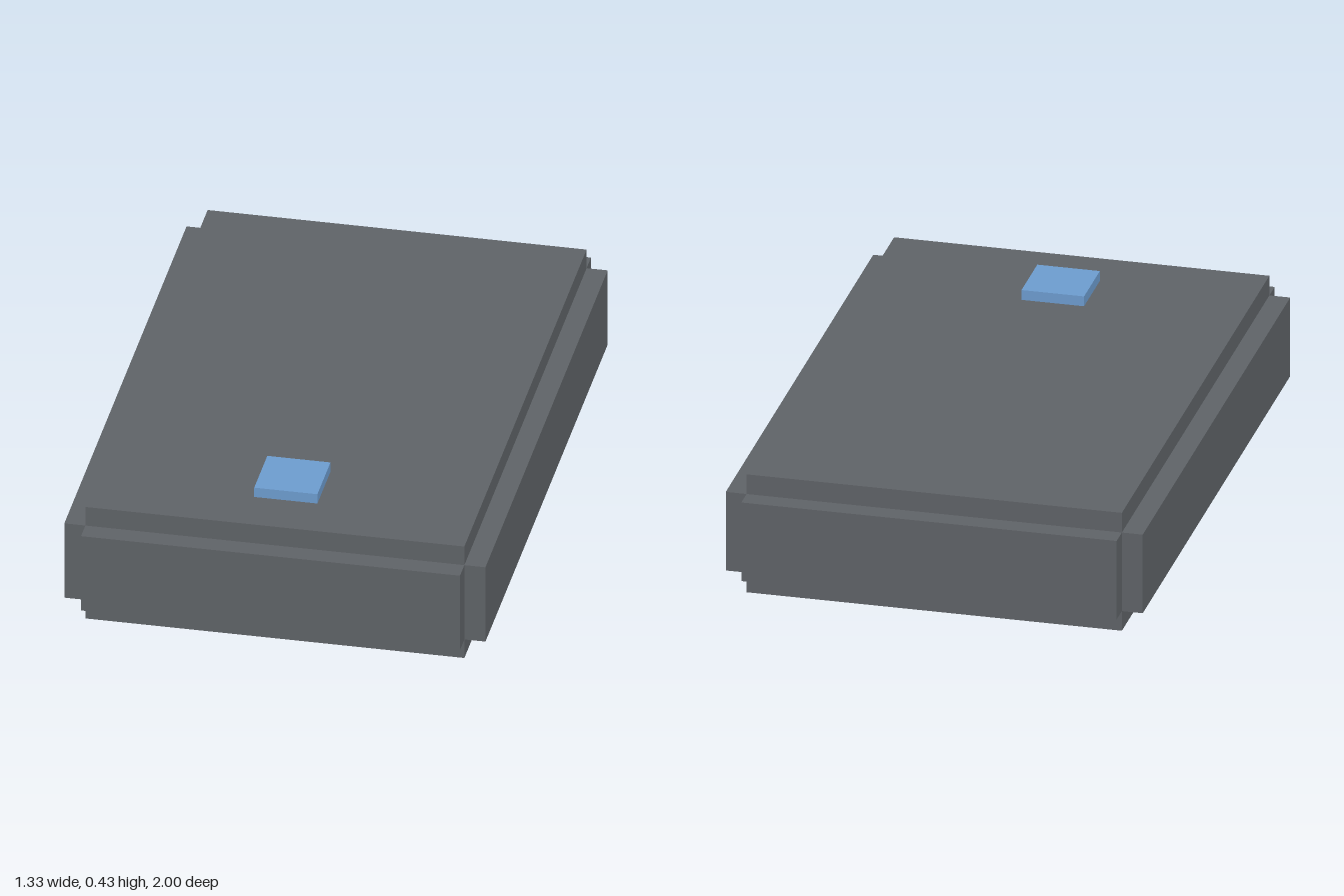
import * as THREE from 'three';

export function createModel() {
  const model = new THREE.Group();
  model.name = 'slabCase';

  const grey = new THREE.MeshStandardMaterial({ color: 0x5e6266 });
  grey.name = 'dark grey';
  const blue = new THREE.MeshStandardMaterial({ color: 0x6c9bcd });
  blue.name = 'light blue';

  // Adds a box from its size and centre
  function box(name, size, centre, material) {
    const mesh = new THREE.Mesh(new THREE.BoxGeometry(...size), material);
    mesh.name = name;
    mesh.position.set(...centre);
    model.add(mesh);
  }

  const width = 1.2, height = 0.4, length = 1.8667;
  const rim = 0.0667;              // how far the side panels stand out
  const panelHeight = height - 2 * rim;

  // Main body
  box('body', [width, height, length], [0, height / 2, 0], grey);

  // Raised panels on the four sides, leaving the corners notched
  for (const s of [1, -1]) {
    box(s > 0 ? 'leftPanel' : 'rightPanel', [rim, panelHeight, length],
      [s * (width + rim) / 2, height / 2, 0], grey);
    box(s > 0 ? 'frontPanel' : 'backPanel', [width, panelHeight, rim],
      [0, height / 2, s * (length + rim) / 2], grey);
  }

  // Button on top, near the front
  box('button', [0.2, 0.0333, 0.2], [0, height + 0.0167, 0.6667], blue);

  return model;
}
